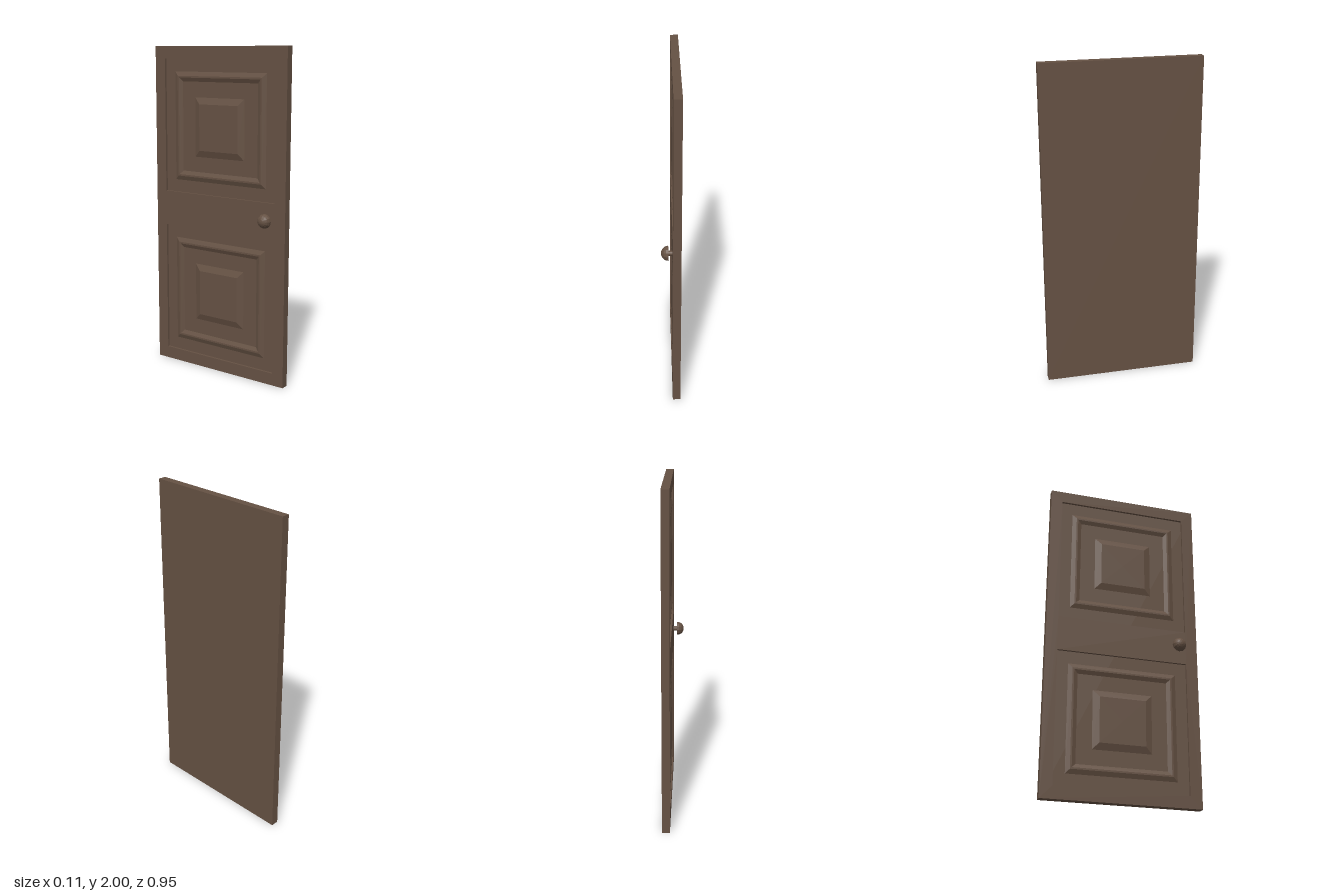
import * as THREE from 'three';

const FACE = 0.01, BACK = 0.057, RECESS = 0.014;   // x of panelled face, plain face, and recess depth
const HALF_WIDTH = 0.475, HEIGHT = 2;

// Faceted turned shape whose axis points out of the panelled face (-x).
function turned(points, sides, phase = 0) {
  const profile = points.map(([r, t]) => new THREE.Vector2(r, t));
  const geometry = new THREE.LatheGeometry(profile, sides, phase).toNonIndexed();
  geometry.computeVertexNormals();
  return geometry.rotateZ(Math.PI / 2);
}

// Square moulding: a four-sided turning, given by half-width and height.
function square(points) {
  return turned(points.map(([half, t]) => [half * Math.SQRT2, t]), 4, Math.PI / 4);
}

function rectangle(path, z0, z1, y0, y1) {
  path.moveTo(z0, y0);
  path.lineTo(z1, y0);
  path.lineTo(z1, y1);
  path.lineTo(z0, y1);
  path.closePath();
  return path;
}

export function createModel() {
  const door = new THREE.Group();
  door.name = 'door';
  const wood = new THREE.MeshStandardMaterial({ color: 0x655143 });
  wood.name = 'brown wood';

  const add = (name, geometry, x = 0, y = 0, z = 0) => {
    const mesh = new THREE.Mesh(geometry, wood);
    mesh.name = name;
    mesh.position.set(x, y, z);
    door.add(mesh);
  };

  // Solid back of the door, which is also the floor of the recesses
  const floorX = FACE + RECESS;
  add('doorSlab', new THREE.BoxGeometry(BACK - floorX, HEIGHT, HALF_WIDTH * 2),
    (BACK + floorX) / 2, HEIGHT / 2, 0);

  // Frame with two openings
  const outline = rectangle(new THREE.Shape(), -HALF_WIDTH, HALF_WIDTH, 0, HEIGHT);
  const openings = [[0.075, 0.892], [1.108, 1.925]];
  for (const [y0, y1] of openings) {
    outline.holes.push(rectangle(new THREE.Path(), -0.402, 0.402, y0, y1));
  }
  const frame = new THREE.ExtrudeGeometry(outline, { depth: RECESS, bevelEnabled: false });
  add('doorFrame', frame.rotateY(-Math.PI / 2), floorX);

  // Raised moulding and bevelled centre in each opening
  const moulding = square([[0.332, 0], [0.306, 0.011], [0.296, 0.011], [0.273, 0]]);
  const centre = square([[0.18, 0], [0.14, 0.014], [0, 0.014]]);
  openings.forEach(([y0, y1], i) => {
    const label = i ? 'upper' : 'lower';
    add(label + 'Moulding', moulding, floorX, (y0 + y1) / 2);
    add(label + 'Panel', centre, floorX, (y0 + y1) / 2);
  });

  // Domed knob on a round stem
  const radius = 0.043, stem = 0.025;
  const dome = [[0.015, stem], [radius, stem]];
  for (let i = 1; i <= 5; i++) {
    const a = (i / 5) * Math.PI / 2;
    dome.push([i === 5 ? 0 : radius * Math.cos(a), stem + 0.042 * Math.sin(a)]);
  }
  add('knobStem', turned([[0.015, 0], [0.015, stem]], 12), FACE, 1.005, 0.352);
  add('knob', turned(dome, 12), FACE, 1.005, 0.352);

  return door;
}
